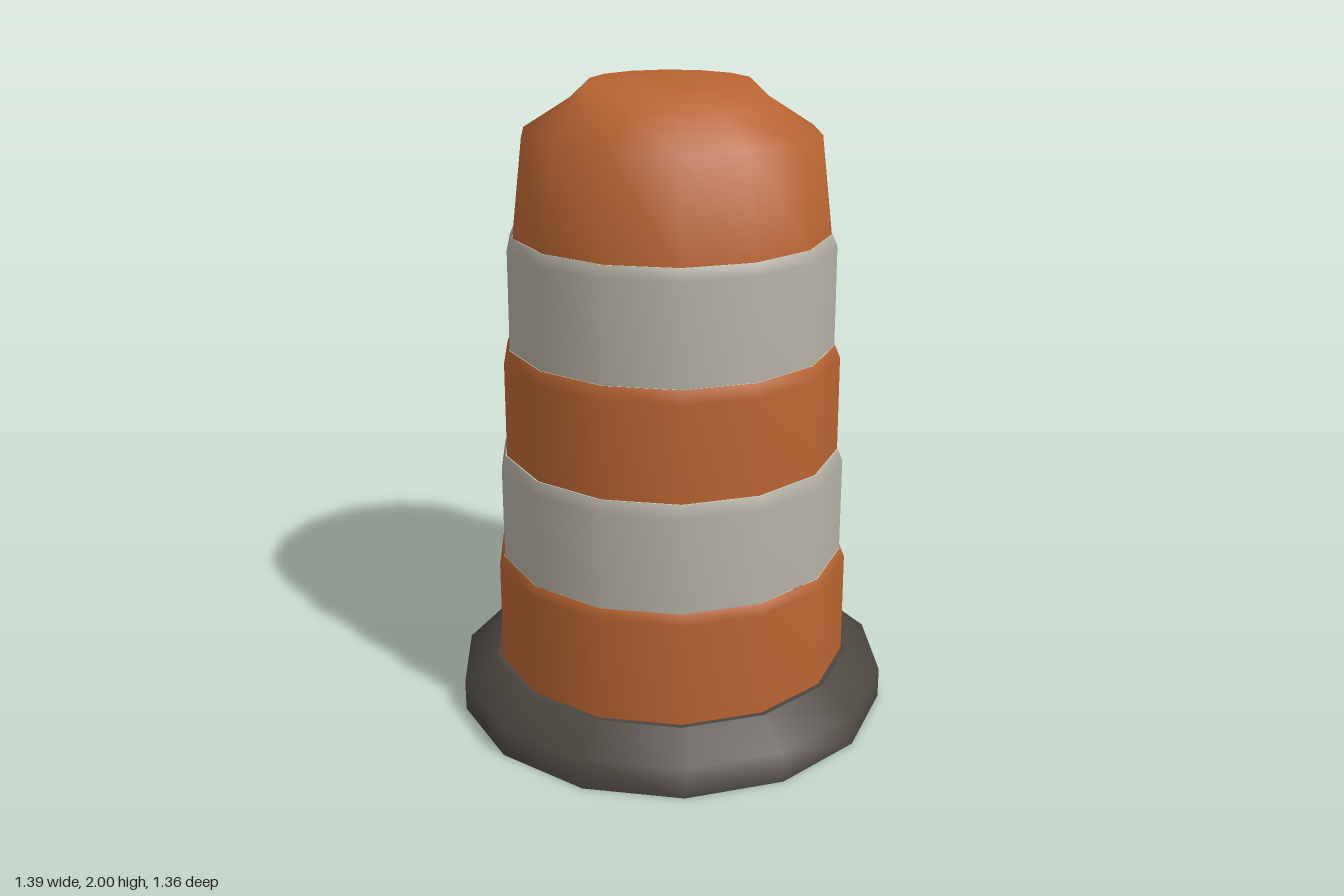
import * as THREE from 'three';

const SIDES = 14;

const material = (name, color) => {
  const m = new THREE.MeshStandardMaterial({ color });
  m.name = name;
  return m;
};

export function createModel() {
  const model = new THREE.Group();
  model.name = 'trafficDrum';
  const orange = material('orange', 0xb96532);
  const white = material('offWhite', 0xb5b1a5);
  const rubber = material('darkRubber', 0x4b463f);

  // Turned part with corners on the x axis; the profile runs bottom to top
  const turn = (name, profile, mat) => {
    const points = profile.map(([r, y]) => new THREE.Vector2(r, y));
    const mesh = new THREE.Mesh(new THREE.LatheGeometry(points, SIDES, Math.PI / 2), mat);
    mesh.name = name;
    model.add(mesh);
  };

  // Rubber base: flat underside, bevelled ring and flat rim under the drum
  turn('baseUnderside', [[0, 0], [0.695, 0]], rubber);
  turn('baseRing', [[0.695, 0], [0.695, 0.1], [0.583, 0.17]], rubber);
  turn('baseRim', [[0.583, 0.17], [0.55, 0.17]], rubber);

  // Stepped bands: [bottom radius, shoulder radius, top radius, bottom, shoulder, top]
  const bands = [
    ['lowerBand', 0.567, 0.565, 0.55, 0.17, 0.5, 0.53, orange],
    ['lowerStripe', 0.548, 0.547, 0.532, 0.53, 0.83, 0.87, white],
    ['middleBand', 0.529, 0.527, 0.51, 0.87, 1.17, 1.21, orange],
    ['upperStripe', 0.508, 0.506, 0.49, 1.21, 1.52, 1.555, white],
  ];
  for (const [name, r0, r1, r2, y0, y1, y2, mat] of bands) {
    turn(name, [[r0, y0], [r1, y1], [r2, y2]], mat);
  }

  // Tapered top with a sloping shoulder and a flat crown
  turn('top', [[0.488, 1.555], [0.452, 1.85], [0.305, 1.943], [0.245, 2], [0, 2]], orange);

  return model;
}
